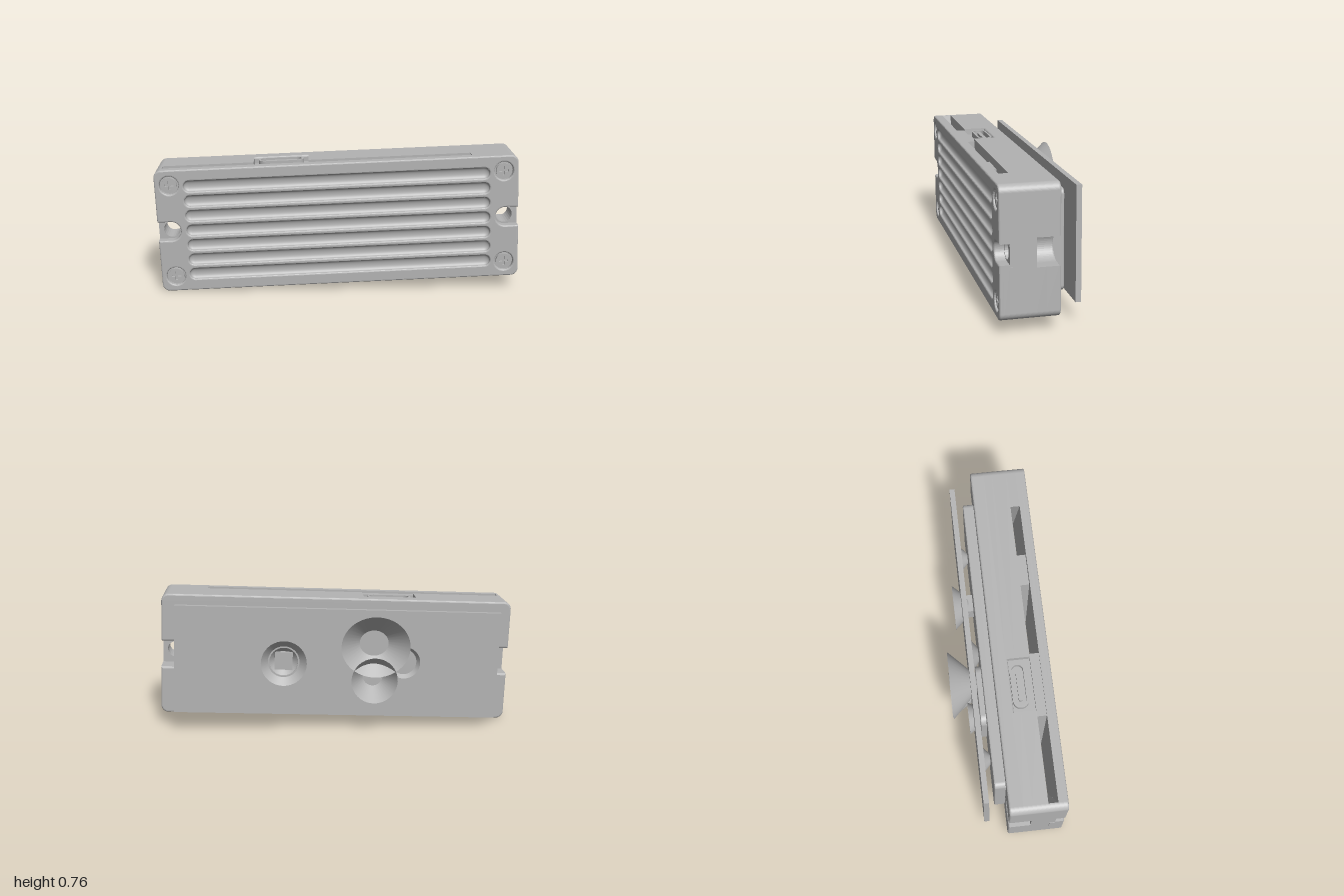
import * as THREE from 'three';

const W = 0.987, H = 0.343, R = 0.04; // housing half width, half height, corner radius
const HOLE_X = 0.915, PI = Math.PI;

const grey = new THREE.MeshStandardMaterial({ color: 0xb4b4b4 });
grey.name = 'grey';
const greyThin = grey; // one colour for the whole device
greyThin.side = THREE.DoubleSide;

function add(parent, name, geometry, x = 0, y = 0, z = 0) {
  const mesh = new THREE.Mesh(geometry, grey);
  mesh.name = name;
  mesh.position.set(x, y, z);
  parent.add(mesh);
  return mesh;
}

function circle(x, y, r) {
  return new THREE.Path().absarc(x, y, r, 0, 2 * PI, false);
}

// Horizontal slot with round ends
function slot(x0, x1, y, r) {
  const p = new THREE.Path();
  p.absarc(x1 - r, y, r, -PI / 2, PI / 2, false);
  p.absarc(x0 + r, y, r, PI / 2, 1.5 * PI, false);
  p.closePath();
  return p;
}

function roundedRect(w, h, r) {
  const s = new THREE.Shape();
  s.absarc(w - r, h - r, r, 0, PI / 2, false);
  s.absarc(-w + r, h - r, r, PI / 2, PI, false);
  s.absarc(-w + r, -h + r, r, PI, 1.5 * PI, false);
  s.absarc(w - r, -h + r, r, 1.5 * PI, 2 * PI, false);
  s.closePath();
  return s;
}

// Housing outline; notch is the half height of the U cut at both ends (0 for none)
function outline(notch, port) {
  const s = new THREE.Shape();
  s.absarc(W - R, -H + R, R, -PI / 2, 0, false);
  if (notch) {
    s.lineTo(W, -notch);
    s.absarc(HOLE_X, 0, notch, -PI / 2, PI / 2, true);
    s.lineTo(W, notch);
  }
  s.absarc(W - R, H - R, R, 0, PI / 2, false);
  if (port) {
    s.lineTo(-0.15, H);
    s.lineTo(-0.15, H - 0.035);
    s.lineTo(-0.45, H - 0.035);
    s.lineTo(-0.45, H);
  }
  s.absarc(-W + R, H - R, R, PI / 2, PI, false);
  if (notch) {
    s.lineTo(-W, notch);
    s.absarc(-HOLE_X, 0, notch, PI / 2, -PI / 2, true);
    s.lineTo(-W, -notch);
  }
  s.absarc(-W + R, -H + R, R, PI, 1.5 * PI, false);
  s.closePath();
  return s;
}

// Extrude between two z values, with an optional edge rounding beyond both ends
function layer(shape, z0, z1, bevel = 0) {
  const g = new THREE.ExtrudeGeometry(shape, {
    depth: z1 - z0, curveSegments: 12, bevelEnabled: bevel > 0,
    bevelThickness: bevel, bevelSize: bevel, bevelOffset: -bevel, bevelSegments: 3,
  });
  return g.translate(0, 0, z0);
}

// Open flared cone along z with an elliptical rim
function viewCone(parent, x, y, z0, z1, r0, r1, squash = 1) {
  const g = new THREE.CylinderGeometry(r0, r1, z0 - z1, 40, 1, true);
  g.rotateX(PI / 2).scale(1, squash, 1);
  add(parent, 'viewCone', g, x, y, (z0 + z1) / 2);
}

function buildHousing(g) {
  add(g, 'rearShell', layer(outline(0.075, false), -0.025, 0.04, 0.01));
  add(g, 'portShell', layer(outline(0.075, true), 0.04, 0.087));

  const middle = outline(0, true);
  middle.holes.push(circle(HOLE_X, 0, 0.045), circle(-HOLE_X, 0, 0.045));
  add(g, 'middleShell', layer(middle, 0.087, 0.17));

  // End blocks either side of the long vent slots
  for (const [x0, turn] of [[0.74, 0], [0.78, PI]]) {
    const s = new THREE.Shape();
    s.moveTo(x0, -H);
    s.absarc(W - R, -H + R, R, -PI / 2, 0, false);
    s.absarc(W - R, H - R, R, 0, PI / 2, false);
    s.lineTo(x0, H);
    s.closePath();
    s.holes.push(circle(HOLE_X, 0, 0.045));
    add(g, 'ventEndBlock', layer(s, 0.17, 0.222).rotateZ(turn));
  }
  add(g, 'ventPortBlock', new THREE.BoxGeometry(0.35, 0.66, 0.052), -0.305, 0, 0.196);
  add(g, 'ventRib', new THREE.BoxGeometry(0.18, 0.6, 0.052), 0.37, 0, 0.196);
  for (const side of [-1, 1])
    add(g, 'coverClip', new THREE.BoxGeometry(0.008, 0.108, 0.03), side * 0.986, -0.117, 0.207);
}

function buildCover(g) {
  add(g, 'coverBase', layer(outline(0.053, false), 0.222, 0.25));
  const face = outline(0.053, false);
  const r = 0.03, x0 = -0.83, x1 = 0.83;

  // Heat sink grooves with a curved floor
  const profile = [];
  for (let i = 0; i <= 6; i++) {
    const a = i / 6 * PI / 2;
    profile.push(new THREE.Vector2(r * Math.sin(a), x0 + r - r * Math.cos(a)));
  }
  for (let i = 6; i >= 0; i--) profile.push(new THREE.Vector2(profile[i].x, -profile[i].y));
  const trough = new THREE.LatheGeometry(profile, 12, PI / 2, PI);
  trough.rotateZ(PI / 2).scale(1, 1, 0.5);
  for (let i = -3; i <= 3; i++) {
    face.holes.push(slot(x0, x1, i * 0.083, r));
    add(g, 'groove', trough, 0, i * 0.083, 0.267);
  }

  // Corner screws in round recesses, with a cross cut in each head
  const head = new THREE.Shape().absarc(0, 0, 0.042, 0, 2 * PI, false);
  const cross = new THREE.Path();
  const a = 0.006, b = 0.026;
  [[b, -a], [b, a], [a, a], [a, b], [-a, b], [-a, a], [-b, a], [-b, -a], [-a, -a], [-a, -b], [a, -b], [a, -a]]
    .forEach(([x, y], i) => (i ? cross.lineTo(x, y) : cross.moveTo(x, y)));
  cross.closePath();
  head.holes.push(cross);
  const headGeometry = layer(head, 0.25, 0.267);
  for (const sx of [-1, 1]) for (const sy of [-1, 1]) {
    face.holes.push(circle(sx * 0.908, sy * 0.258, 0.051));
    add(g, 'screw', headGeometry, sx * 0.908, sy * 0.258, 0);
  }
  add(g, 'coverFace', layer(face, 0.25, 0.267, 0.008));
}

function buildPort(g) {
  // Connector shell standing in the top recess
  const shell = roundedRect(0.125, 0.042, 0.04);
  shell.holes.push(roundedRect(0.113, 0.031, 0.03));
  const upright = (s, h) => layer(s, 0, h).rotateX(-PI / 2);
  add(g, 'portShellRing', upright(shell, 0.03), -0.3, H - 0.035, 0.095);
  add(g, 'portTongue', upright(roundedRect(0.085, 0.01, 0.008), 0.024), -0.3, H - 0.035, 0.095);
}

function buildBack(g) {
  add(g, 'rearStep', layer(roundedRect(0.825, 0.268, 0.03), -0.088, -0.03, 0.007));
  add(g, 'sensorBoss', layer(roundedRect(0.17, 0.175, 0.05), -0.122, -0.095, 0.004), -0.28);

  const glass = new THREE.Shape();
  glass.moveTo(-0.905, -0.303);
  glass.lineTo(0.905, -0.303);
  glass.lineTo(0.905, 0.303);
  glass.lineTo(-0.905, 0.303);
  glass.closePath();
  glass.holes.push(circle(0.3, 0, 0.08));
  add(g, 'coverPlate', layer(glass, -0.161, -0.132));
  add(g, 'projectorBlock', new THREE.BoxGeometry(0.1, 0.1, 0.06), 0.3, 0, -0.115);

  // Flared sight cones through the cover plate
  viewCone(g, -0.2, 0.118, -0.12, -0.271, 0.04, 0.19, 0.89);
  viewCone(g, -0.2, -0.07, -0.12, -0.275, 0.03, 0.128);
  viewCone(g, -0.37, 0.015, -0.12, -0.188, 0.045, 0.09);
  viewCone(g, 0.3, 0, -0.095, -0.205, 0.03, 0.127);

  // Short cones that end at the plate
  for (const [x, r0, r1] of [[-0.61, 0.03, 0.07], [0, 0.04, 0.093], [0.6, 0.03, 0.07]])
    viewCone(g, x, 0, -0.095, -0.133, r0, r1);
}

export function createModel() {
  const model = new THREE.Group();
  model.name = 'depthCamera';
  const body = new THREE.Group();
  body.name = 'tiltedBody';
  body.rotation.z = 0.038;
  body.position.y = 0.381;
  model.add(body);
  buildHousing(body);
  buildCover(body);
  buildPort(body);
  buildBack(body);
  return model;
}
